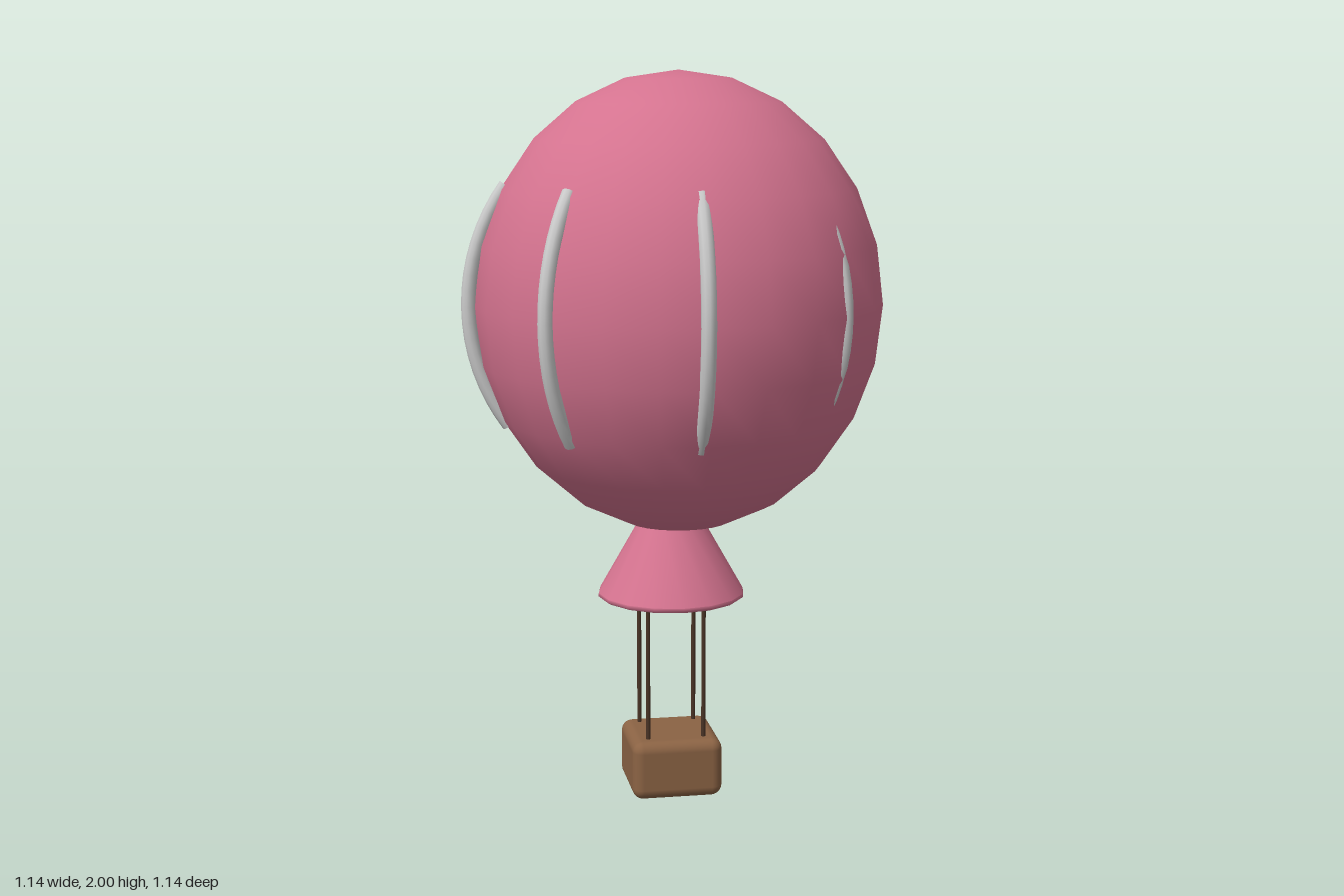
import * as THREE from 'three';
import { RoundedBoxGeometry } from 'three/addons/geometries/RoundedBoxGeometry.js';

const CX = -0.005; // axis shared by basket, ropes, skirt and stripes

function add(parent, name, geometry, material, x, y, z) {
  const mesh = new THREE.Mesh(geometry, material);
  mesh.name = name;
  mesh.position.set(x, y, z);
  parent.add(mesh);
  return mesh;
}

export function createModel() {
  const model = new THREE.Group();
  model.name = 'hotAirBalloon';
  const pink = new THREE.MeshStandardMaterial({ color: 0xd4738f });
  const brown = new THREE.MeshStandardMaterial({ color: 0x8b6344 });
  const dark = new THREE.MeshStandardMaterial({ color: 0x4a3426 });
  const grey = new THREE.MeshStandardMaterial({ color: 0xcccccc });

  // Envelope: a slightly tall ellipsoid
  const envelope = new THREE.SphereGeometry(1, 24, 12).scale(0.555, 0.625, 0.55);
  add(model, 'envelope', envelope, pink, 0.015, 1.375, 0);

  // Raised stripes: eight short arcs around the envelope
  const stripes = new THREE.Group();
  stripes.name = 'stripes';
  stripes.position.set(CX, 1.375, 0);
  model.add(stripes);
  const arc = Math.PI * 0.4;
  const stripe = new THREE.TorusGeometry(0.55, 0.02, 10, 16, arc).rotateZ(-arc / 2);
  for (let i = 0; i < 8; i++) {
    add(stripes, 'stripe', stripe, grey, 0, 0, 0).rotation.y = (i * Math.PI) / 4;
  }

  // Skirt: closed cone with a small bevel at the lower rim
  const profile = [[0, 0], [0.196, 0], [0.196, 0], [0.205, 0.006], [0.203, 0.014], [0.203, 0.014], [0.092, 0.21], [0.06, 0.265]]
    .map(([r, y]) => new THREE.Vector2(r, y));
  add(model, 'skirt', new THREE.LatheGeometry(profile, 16), pink, CX, 0.555, 0);

  // Ropes between skirt and basket
  const rope = new THREE.CylinderGeometry(0.006, 0.006, 0.44, 8);
  for (const x of [-0.078, 0.078]) {
    for (const z of [-0.078, 0.078]) add(model, 'rope', rope, dark, CX + x, 0.36, z);
  }

  // Basket
  add(model, 'basket', new RoundedBoxGeometry(0.252, 0.165, 0.252, 3, 0.03), brown, CX, 0.0825, 0);

  return model;
}
